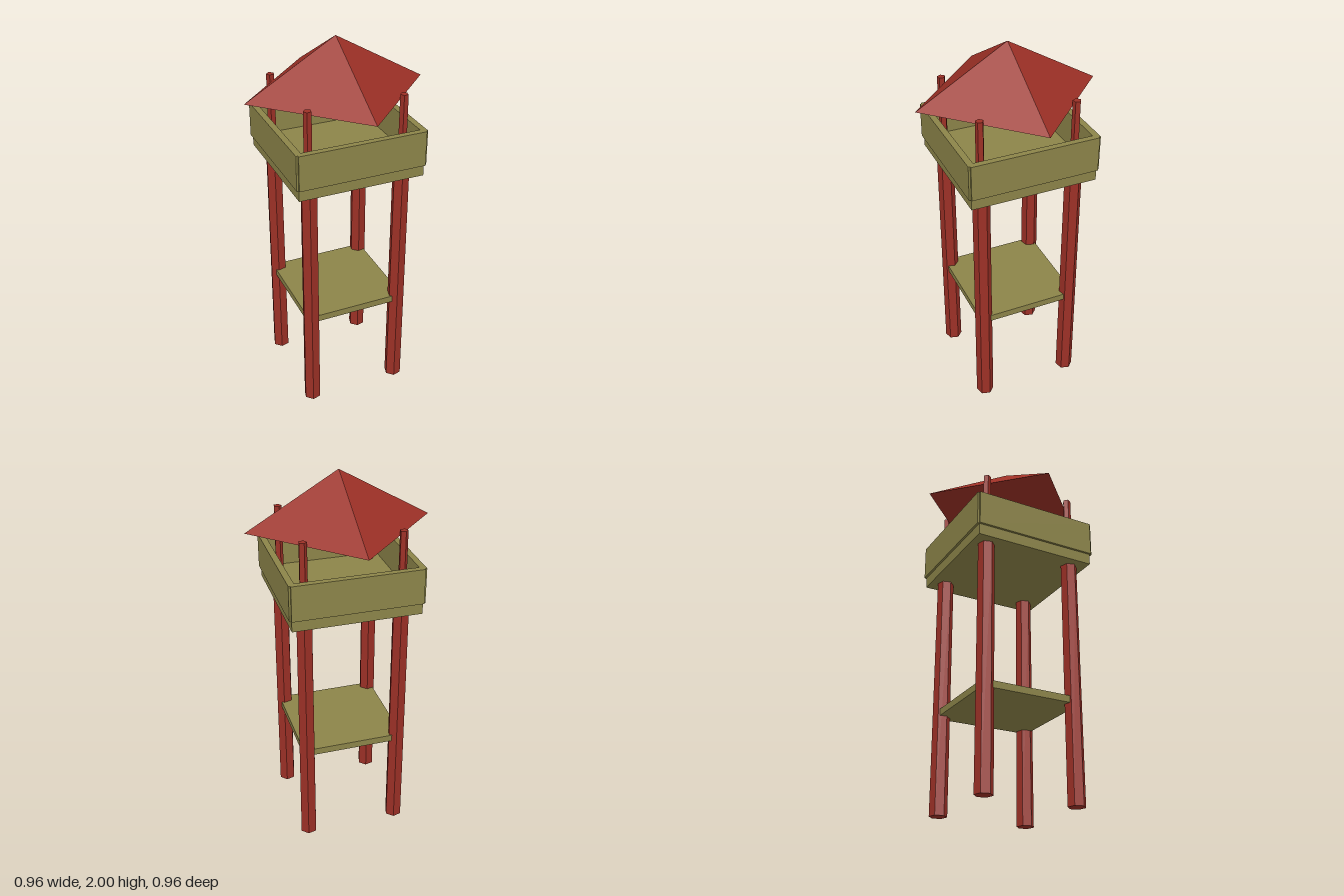
import * as THREE from 'three';

export function createModel() {
  const model = new THREE.Group();
  model.name = 'watchtower';

  const red = new THREE.MeshStandardMaterial({ color: 0x9c3026, flatShading: true });
  red.name = 'red paint';
  const olive = new THREE.MeshStandardMaterial({ color: 0x8c8449, flatShading: true });
  olive.name = 'olive wood';

  function add(name, geometry, material, x, y, z) {
    const mesh = new THREE.Mesh(geometry, material);
    mesh.name = name;
    mesh.position.set(x, y, z);
    model.add(mesh);
    return mesh;
  }

  // Box spanning y0..y1
  function slab(name, w, d, y0, y1, x = 0, z = 0) {
    return add(name, new THREE.BoxGeometry(w, y1 - y0, d), olive, x, (y0 + y1) / 2, z);
  }

  // Upright post spanning y0..y1, turned 45 degrees
  function post(name, rTop, rBottom, sides, y0, y1, x, z) {
    const geometry = new THREE.CylinderGeometry(rTop, rBottom, y1 - y0, sides);
    add(name, geometry, red, x, (y0 + y1) / 2, z).rotation.y = Math.PI / 4;
  }

  // Hexagonal legs and thin pentagonal roof posts at the four corners
  for (const sx of [-1, 1]) {
    for (const sz of [-1, 1]) {
      post('leg', 0.0445, 0.047, 6, 0, 1.34, sx * 0.253, sz * 0.253);
      post('roofPost', 0.0215, 0.0225, 5, 1.36, 1.75, sx * 0.254, sz * 0.254);
    }
  }

  // Lower shelf and platform floor
  slab('lowerShelf', 0.554, 0.554, 0.525, 0.562);
  slab('platformFloor', 0.674, 0.674, 1.325, 1.39);

  // Parapet: four overlapping walls with notched corners
  for (const s of [-1, 1]) {
    slab('parapetSide', 0.033, 0.678, 1.385, 1.573, s * 0.3325, 0);
    slab('parapetEnd', 0.678, 0.033, 1.385, 1.573, 0, s * 0.3325);
  }

  // Four-sided pyramid roof, corners on the axes
  add('roof', new THREE.ConeGeometry(0.481, 0.28, 4), red, 0, 1.86, 0);

  return model;
}
